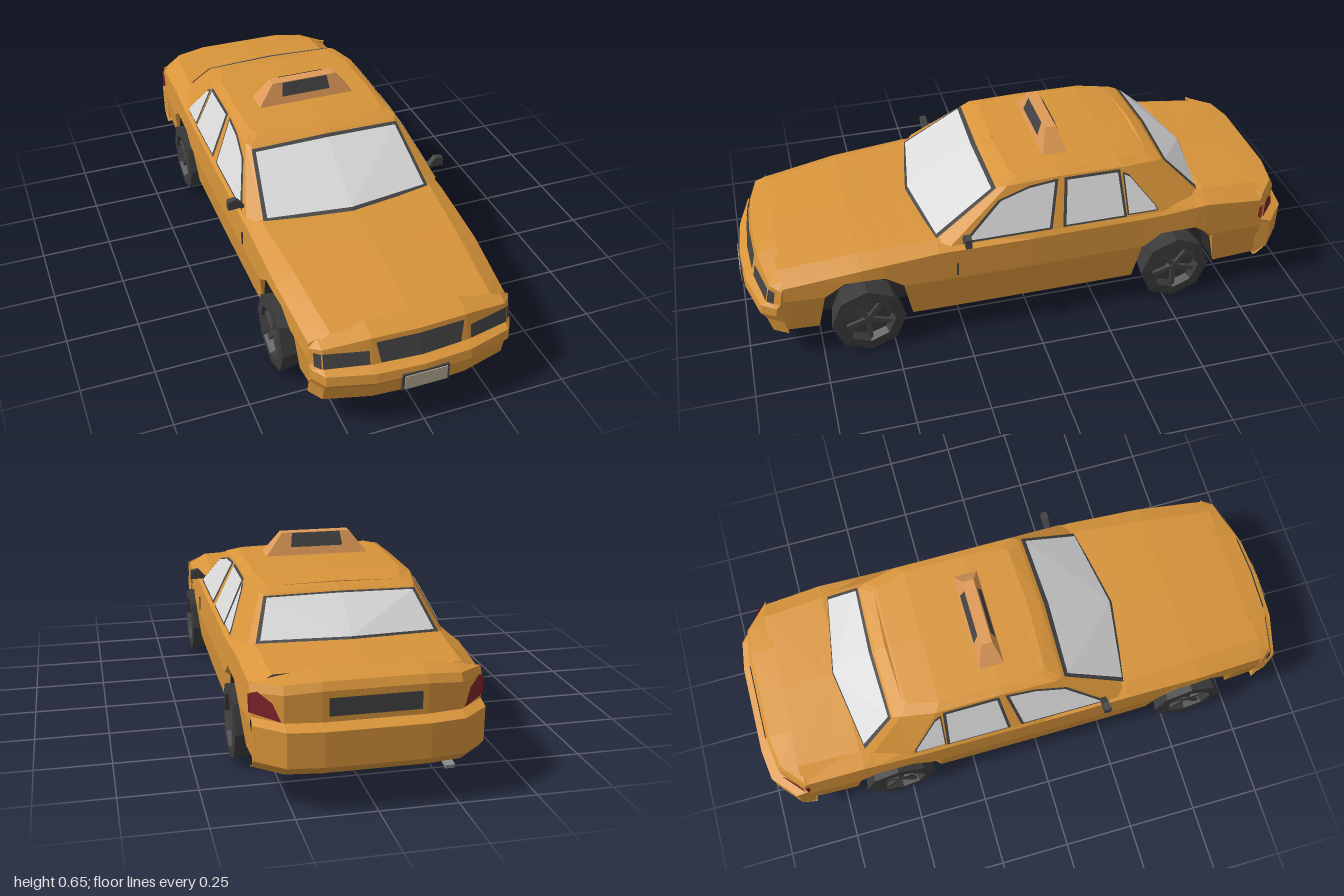
import * as THREE from 'three';

const mat = (name, color) => {
  const m = new THREE.MeshStandardMaterial({ color, flatShading: true, side: THREE.DoubleSide });
  m.name = name;
  return m;
};

export function createModel() {
  const car = new THREE.Group();
  car.name = 'sedanCab';
  const paint = mat('orangePaint', 0xd8943a), signPaint = mat('signOrange', 0xdf9a58);
  const trim = mat('darkTrim', 0x444444), under = mat('underbodyBlack', 0x303030);
  const tyreMat = mat('tyreGrey', 0x3b3b3b), glass = mat('paleGlass', 0xdadada);
  const red = mat('tailRed', 0x7c242a), plateMat = mat('plateBeige', 0xb9ae98);
  const metal = mat('exhaustGrey', 0x8c8c8c);

  const add = (name, geo, m, x = 0, y = 0, z = 0, parent = car) => {
    const mesh = new THREE.Mesh(geo, m);
    mesh.name = name;
    mesh.position.set(x, y, z);
    parent.add(mesh);
    return mesh;
  };

  // Faces for triangles on the +x half and their mirror, all turned outward
  const mirrored = (name, tris, m) => {
    const pos = [];
    for (const s of [1, -1]) for (const t of tris) {
      const [a, b, c] = t.map(p => new THREE.Vector3(p[0] * s, p[1], p[2]));
      const n = b.clone().sub(a).cross(c.clone().sub(a));
      if (n.lengthSq() < 1e-14) continue;
      const mid = a.clone().add(b).add(c).divideScalar(3);
      const out = mid.clone().sub(new THREE.Vector3(0, 0.25, mid.z * 0.8));
      for (const p of n.dot(out) < 0 ? [a, c, b] : [a, b, c]) pos.push(p.x, p.y, p.z);
    }
    const g = new THREE.BufferGeometry();
    g.setAttribute('position', new THREE.Float32BufferAttribute(pos, 3));
    g.computeVertexNormals();
    return add(name, g, m);
  };

  // Skin over rows of points
  const surf = (name, rows, m) => {
    const tris = [];
    for (let r = 0; r + 1 < rows.length; r++) for (let c = 0; c + 1 < rows[r].length; c++) {
      const p = rows[r][c], q = rows[r][c + 1], s = rows[r + 1][c + 1], t = rows[r + 1][c];
      tris.push([p, t, s], [p, s, q]);
    }
    return mirrored(name, tris, m);
  };
  const fan = (name, pts, m) =>
    mirrored(name, pts.slice(2).map((p, i) => [pts[0], pts[i + 1], p]), m);

  // Thin plate lying on a quad; corners are [u, v] within the quad
  const patch = (name, [a, b, c, d], uv, m, off) => {
    const V = p => new THREE.Vector3(...p);
    const n = V(c).sub(V(a)).cross(V(d).sub(V(b))).normalize();
    const mid = V(a).add(V(b)).add(V(c)).add(V(d)).multiplyScalar(0.25);
    if (n.dot(mid.clone().sub(new THREE.Vector3(0, 0.25, mid.z * 0.8))) < 0) n.negate();
    fan(name, uv.map(([u, v]) => V(a).lerp(V(b), u).lerp(V(d).lerp(V(c), u), v)
      .addScaledVector(n, off)).map((p, i) => [uv[i][0] === 0 && a[0] === 0 ? 0 : p.x, p.y, p.z]), m);
  };
  const rect = (u0, u1, v0, v1) => [[u0, v0], [u1, v0], [u1, v1], [u0, v1]];

  // Lower body: [z, centre y, shoulder x, y, flank x, y]
  const keys = [
    [0.87, 0.345, 0.27, 0.335, 0.335, 0.30], [0.60, 0.378, 0.29, 0.37, 0.355, 0.34],
    [0.33, 0.39, 0.31, 0.388, 0.36, 0.365], [0, 0.39, 0.345, 0.388, 0.362, 0.365],
    [-0.45, 0.40, 0.34, 0.395, 0.362, 0.37], [-0.64, 0.425, 0.30, 0.415, 0.36, 0.385],
    [-0.86, 0.405, 0.29, 0.40, 0.353, 0.36]];
  const at = z => {
    let i = 0;
    while (i < keys.length - 2 && z < keys[i + 1][0]) i++;
    const t = (z - keys[i][0]) / (keys[i + 1][0] - keys[i][0]);
    return keys[i].map((v, k) => v + (keys[i + 1][k] - v) * t);
  };
  // Stations [z, lower edge y]; the edge rises over the wheels
  const stations = [[0.87, 0.11], [0.755, 0.11], [0.725, 0.235], [0.655, 0.285], [0.6, 0.288],
    [0.52, 0.285], [0.455, 0.24], [0.43, 0.11], [0.33, 0.11], [0, 0.11], [-0.375, 0.11],
    [-0.41, 0.24], [-0.47, 0.285], [-0.6, 0.285], [-0.64, 0.26], [-0.67, 0.225], [-0.695, 0.11],
    [-0.86, 0.115]];
  const skin = [], belly = [];
  for (const [z, yb] of stations) {
    const [, yc, x1, y1, x2, y2] = at(z);
    const edge = [x2 - 0.014, yb, z];
    skin.push([[0, yc, z], [x1, y1, z], [x2, y2, z], [x2 + 0.004, Math.max(0.25, yb + 0.012), z], edge]);
    belly.push([edge, [0.25, yb, z], [0.25, 0.105, z], [0, 0.105, z]]);
  }
  surf('bodyShell', skin, paint);
  surf('underbodyAndWheelWells', belly, under);

  // Front and rear ends: rows [y, z, corner sweep, corner sag], columns [x, sweep, sag]
  const fascia = (dir, rows, cols, zEnd) => rows.map(([y, z, k, sag]) => [
    ...cols.map(([x, d, s]) => [x, y - sag * s, dir * (z - k * d)]),
    [cols[3][0] - 0.006, y - sag, dir * zEnd]]);
  const front = fascia(1, [[0.347, 0.86, 0, 0.04], [0.33, 0.935, 0.7, 0.035], [0.24, 0.955, 0.8, 0],
    [0.228, 0.988, 1, 0], [0.195, 0.994, 1, 0], [0.165, 0.972, 1, 0], [0.11, 0.96, 1, 0],
    [0.11, 0.86, 0, 0]], [[0, 0, 0], [0.16, 0.01, 0], [0.31, 0.05, 0.7], [0.342, 0.1, 1]], 0.86);
  const rear = fascia(-1, [[0.407, 0.85, 0, 0.03], [0.395, 0.935, 1, 0.02], [0.37, 0.95, 1, 0.02],
    [0.275, 0.95, 1, 0], [0.262, 0.992, 1, 0], [0.15, 0.99, 1, 0], [0.115, 0.95, 1, 0],
    [0.115, 0.85, 0, 0]], [[0, 0, 0], [0.16, 0, 0], [0.27, 0.015, 0.5], [0.357, 0.09, 1]], 0.85);
  surf('frontEnd', front, paint);
  surf('rearEnd', rear, paint);
  const cell = (g, r, c) => [g[r][c], g[r][c + 1], g[r + 1][c + 1], g[r + 1][c]];
  patch('grille', cell(front, 1, 0), [[0, 0.14], [0.92, 0.14], [0.84, 0.95], [0, 0.98]], trim, 0.006);
  patch('headlight', cell(front, 1, 1), [[0.06, 0.4], [1, 0.15], [1, 0.93], [0.06, 0.93]], trim, 0.007);
  patch('headlightCorner', cell(front, 1, 2), rect(0, 0.55, 0.15, 0.93), trim, 0.007);
  patch('rearPanel', cell(rear, 2, 0), rect(0, 0.88, 0.2, 0.8), trim, 0.006);
  patch('tailLight', cell(rear, 2, 2), [[0.05, 0.95], [0.3, 0.3], [0.75, -0.1], [1, 0], [1, 0.8]], red, 0.006);
  patch('tailLightSide', cell(rear, 2, 3), [[0, 0], [1, 0.25], [1, 0.8], [0, 0.85]], red, 0.006);
  add('plateFrame', new THREE.BoxGeometry(0.158, 0.064, 0.012), trim, 0, 0.177, 0.988);
  add('numberPlate', new THREE.BoxGeometry(0.144, 0.052, 0.008), plateMat, 0, 0.177, 0.993);

  // Cabin: rings from front centre round the side to rear centre
  const sideX = y => 0.352 - (y - 0.39) * 0.45;
  const side = (y, z) => [sideX(y), y, z];
  const base = [[0, 0.385, 0.385], [0.305, 0.38, 0.335], side(0.385, 0.29), side(0.385, -0.1),
    side(0.385, -0.47), [0.32, 0.40, -0.60], [0.298, 0.41, -0.62], [0, 0.42, -0.668]];
  const top = [[0, 0.55, 0.105], [0.27, 0.54, 0.1], side(0.545, 0.075), side(0.552, -0.11),
    side(0.55, -0.35), [0.258, 0.54, -0.47], [0.248, 0.535, -0.495], [0, 0.54, -0.5]];
  const roof = [[0, 0.563, 0.06], [0.23, 0.56, 0.05], [0.245, 0.56, 0.03], [0.252, 0.565, -0.11],
    [0.25, 0.562, -0.33], [0.22, 0.552, -0.44], [0.21, 0.55, -0.45], [0, 0.555, -0.46]];
  surf('cabin', [base, top, roof, roof.map(([, y, z]) => [0, y + 0.003, z])], paint);

  // Windscreen and rear window
  for (const [name, i, j] of [['windscreen', 0, 1], ['rearWindow', 7, 6]]) {
    const quad = [base[i], base[j], top[j], top[i]];
    patch(name + 'Frame', quad, rect(0, 1, 0.02, 0.96), trim, 0.003);
    patch(name, quad, rect(0, 0.955, 0.06, 0.91), glass, 0.007);
  }

  // Side windows [z, y]
  const windows = {
    frontDoorWindow: [[0.235, 0.395], [0.105, 0.505], [0, 0.533], [-0.095, 0.541], [-0.06, 0.395]],
    rearDoorWindow: [[-0.115, 0.395], [-0.135, 0.541], [-0.32, 0.54], [-0.33, 0.395]],
    quarterWindow: [[-0.345, 0.398], [-0.34, 0.53], [-0.36, 0.52], [-0.445, 0.412], [-0.45, 0.398]]
  };
  for (const [name, pts] of Object.entries(windows)) {
    const mz = pts.reduce((s, p) => s + p[0], 0) / pts.length;
    const my = pts.reduce((s, p) => s + p[1], 0) / pts.length;
    const lay = (k, off) => pts.map(([z, y]) => {
      const h = my + (y - my) * k;
      return [sideX(h) + off, h, mz + (z - mz) * k];
    });
    fan(name + 'Frame', lay(1.08, 0.003), trim);
    fan(name, lay(0.98, 0.006), glass);
  }

  // Door mirrors and side markers
  for (const s of [1, -1]) {
    const shape = new THREE.Shape([[0.335, 0.395], [0.365, 0.402], [0.402, 0.4], [0.4, 0.433],
      [0.372, 0.438]].map(([x, y]) => new THREE.Vector2(x * s, y)));
    const m = add('doorMirror', new THREE.ExtrudeGeometry(shape, { depth: 0.022, bevelEnabled: false }), trim, 0, 0, 0.225);
    m.rotation.y = 0;
    add('sideMarker', new THREE.BoxGeometry(0.008, 0.05, 0.006), trim, s * 0.363, 0.29, 0.27);
  }

  // Roof sign
  const ring = (x, y, z0, z1) => [[0, y, z0], [x, y, z0], [x, y, z1], [0, y, z1]];
  const lo = ring(0.178, 0.575, -0.08, -0.168), hi = ring(0.12, 0.65, -0.105, -0.143);
  surf('roofSign', [lo, hi, hi.map(p => [0, p[1], p[2]])], signPaint);
  surf('roofSignBase', [[lo[0], lo[1]], [lo[3], lo[2]]], signPaint);
  for (const [i, j] of [[0, 1], [3, 2]])
    patch('signPanel', [lo[i], lo[j], hi[j], hi[i]], [[0, 0.35], [0.58, 0.35], [0.7, 0.98], [0, 0.98]], trim, 0.004);

  // Wheels: eight-sided tyre, recessed hub, five spokes
  const profile = [[0, -0.05], [0.117, -0.05], [0.13, 0.05], [0.092, 0.052], [0.08, 0.025], [0, 0.03]]
    .map(p => new THREE.Vector2(...p));
  for (const s of [1, -1]) for (const z of [0.587, -0.533]) {
    const wheel = new THREE.Group();
    wheel.name = 'wheel';
    wheel.position.set(s * 0.323, 0.13, z);
    wheel.rotation.z = -s * Math.PI / 2;
    add('tyre', new THREE.LatheGeometry(profile, 8), tyreMat, 0, 0, 0, wheel);
    add('hubCap', new THREE.CylinderGeometry(0.018, 0.028, 0.014, 5), trim, 0, 0.036, 0, wheel);
    for (let i = 0; i < 5; i++) {
      const a = i * Math.PI * 0.4;
      const spoke = add('spoke', new THREE.BoxGeometry(0.08, 0.012, 0.018), trim,
        Math.cos(a) * 0.048, 0.036, -Math.sin(a) * 0.048, wheel);
      spoke.rotation.y = a;
    }
    car.add(wheel);
  }

  // Underside fittings
  add('exhaustBox', new THREE.BoxGeometry(0.1, 0.014, 0.25), metal, 0, 0.1, -0.085);
  add('silencer', new THREE.CylinderGeometry(0.062, 0.05, 0.035, 4, 1, false, Math.PI / 4), metal, 0.185, 0.092, -0.64);
  add('rearAxleHousing', new THREE.BoxGeometry(0.09, 0.03, 0.09), under, 0, 0.1, -0.53);
  add('sumpGuard', new THREE.BoxGeometry(0.09, 0.025, 0.08), under, 0, 0.098, 0.5);
  const tip = add('tailPipe', new THREE.BoxGeometry(0.03, 0.012, 0.1), metal, -0.235, 0.107, -0.9);
  tip.rotation.x = -0.2;
  return car;
}
